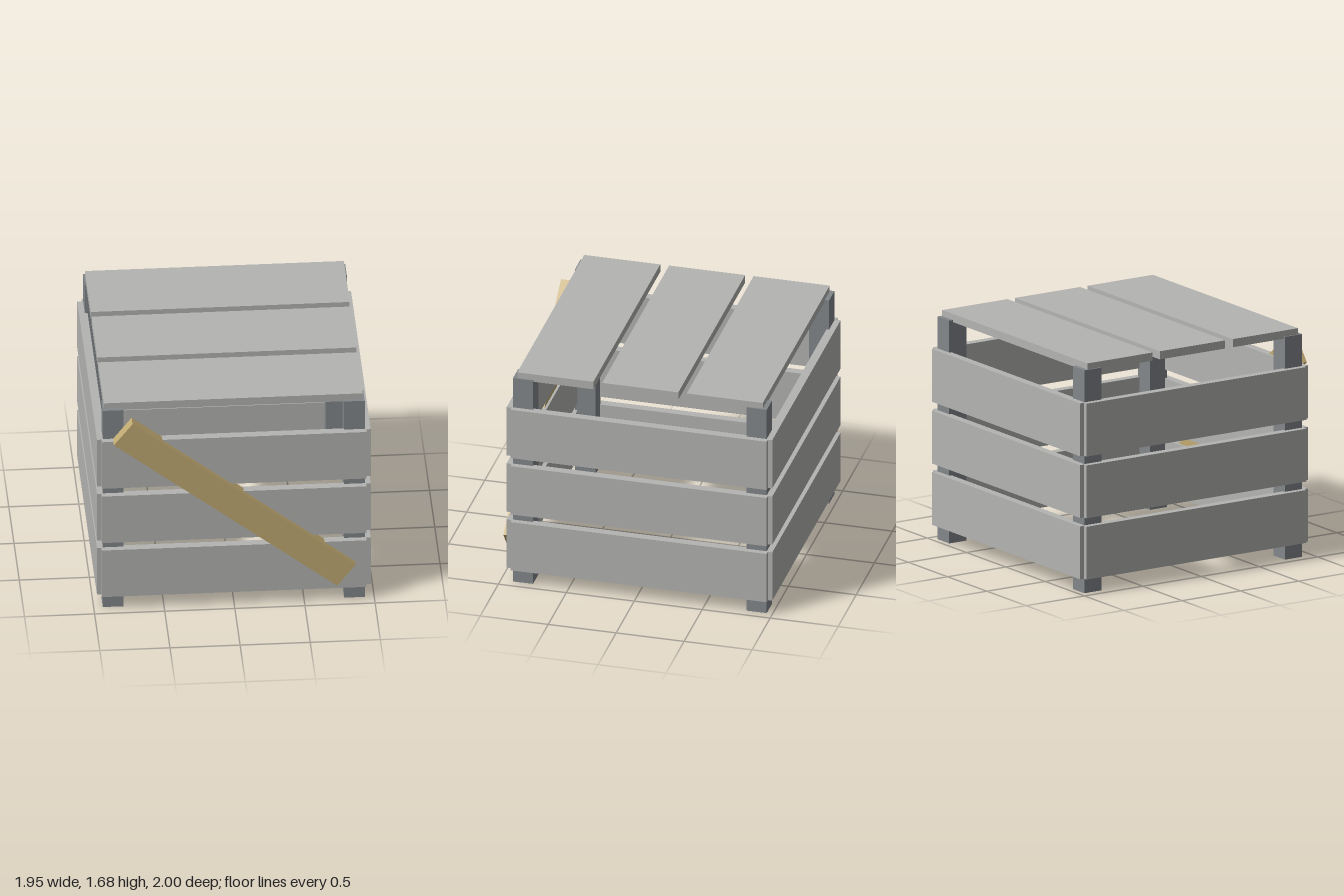
import * as THREE from 'three';

export function createModel() {
  const model = new THREE.Group();
  model.name = 'crate';

  const boardGrey = new THREE.MeshStandardMaterial({ name: 'boardGrey', color: 0xb4b4b2 });
  const postGrey = new THREE.MeshStandardMaterial({ name: 'postGrey', color: 0x83878b });
  const braceTan = new THREE.MeshStandardMaterial({ name: 'braceTan', color: 0xc2ab73 });

  // Box given by its extents along each axis
  const addBox = (name, material, [x0, x1], [y0, y1], [z0, z1]) => {
    const mesh = new THREE.Mesh(new THREE.BoxGeometry(x1 - x0, y1 - y0, z1 - z0), material);
    mesh.position.set((x0 + x1) / 2, (y0 + y1) / 2, (z0 + z1) / 2);
    mesh.name = name;
    model.add(mesh);
    return mesh;
  };

  // Corner posts
  for (const [side, x] of [['right', [-0.935, -0.787]], ['left', [0.785, 0.933]]]) {
    addBox(side + 'FrontPost', postGrey, x, [0, 1.635], [0.763, 0.911]);
    addBox(side + 'BackPost', postGrey, x, [0, 1.635], [-0.957, -0.809]);
  }

  // Three rows of wall boards
  [0.11, 0.56, 1.013].forEach((y, i) => {
    const height = [y, y + 0.388];
    const row = i + 1;
    addBox('frontBoard' + row, boardGrey, [-0.945, 0.942], height, [0.893, 0.955]);
    addBox('backBoard' + row, boardGrey, [-0.945, 0.942], height, [-1, -0.938]);
    addBox('rightBoard' + row, boardGrey, [-0.977, -0.915], height, [-0.968, 0.919]);
    addBox('leftBoard' + row, boardGrey, [0.913, 0.975], height, [-0.968, 0.919]);
  });

  // Lid slats
  [-0.925, -0.303, 0.322].forEach((z, i) => {
    addBox('lidSlat' + (i + 1), boardGrey, [-0.925, 0.921], [1.62, 1.68], [z, z + 0.56]);
  });

  // Diagonal brace across the front
  const brace = addBox('diagonalBrace', braceTan, [-1.01, 1.01], [0.755, 0.971], [0.911, 1]);
  brace.rotation.z = -0.663;

  return model;
}
